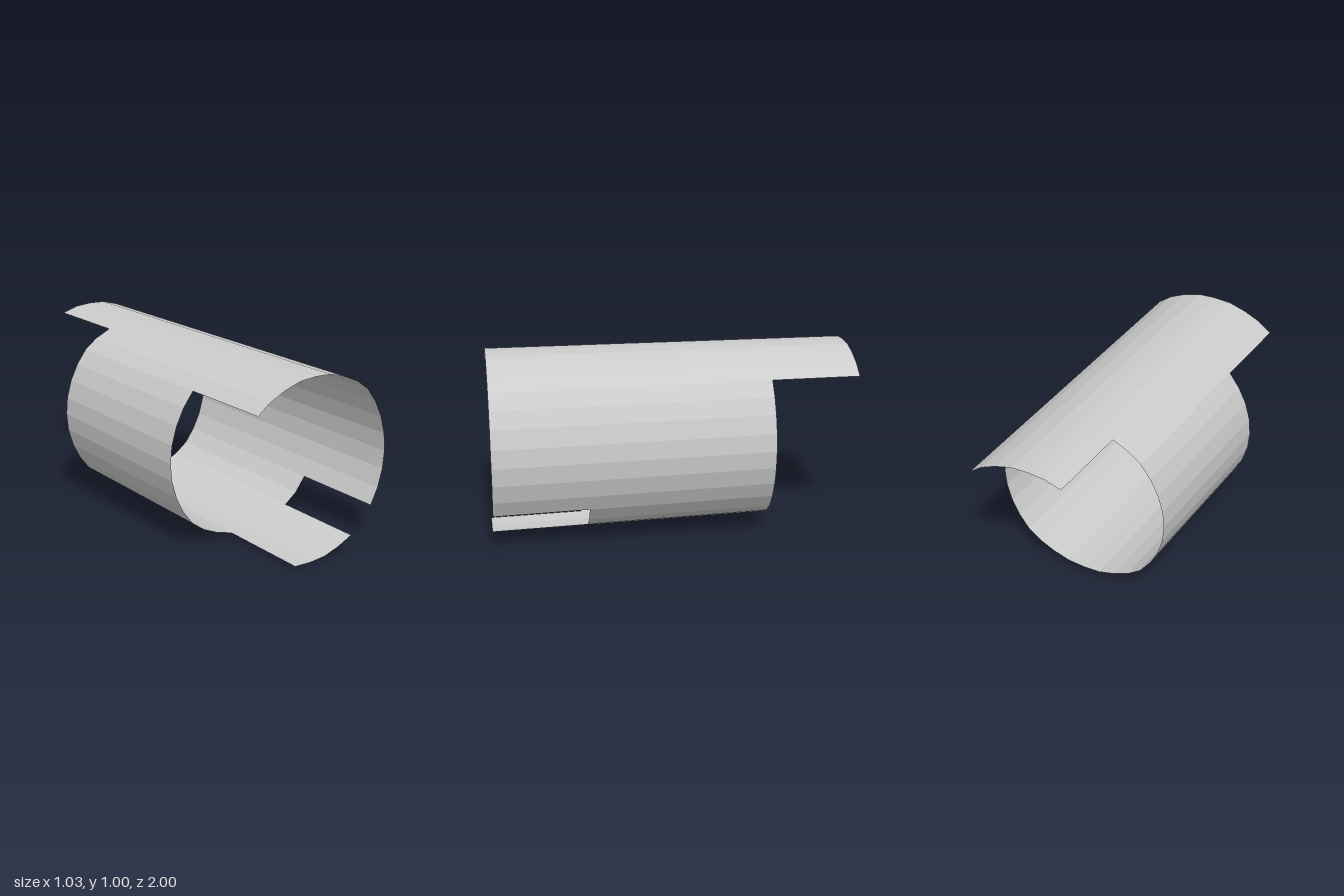
import * as THREE from 'three';

const SIDES = 32;
// Quarter outline from the crown (index 0) to the widest point (index 8)
const HEIGHT = [0.502, 0.496, 0.467, 0.426, 0.37, 0.29, 0.2, 0.099, 0];
const WIDTH = [0, 0.102, 0.202, 0.294, 0.371, 0.432, 0.478, 0.508, 0.517];

// Point on the slightly tapering sleeve; k counts clockwise from the crown
function sleevePoint(k, z) {
  const i = ((k % SIDES) + SIDES) % SIDES;
  const half = i <= 16 ? i : SIDES - i;
  const q = half <= 8 ? half : 16 - half;
  const scale = 1 - 0.023 * (1 - z);
  const x = WIDTH[q] * (i <= 16 ? 1 : -1) * scale;
  const y = 0.505 + 0.0105 * (1 - z) + HEIGHT[q] * (half <= 8 ? 1 : -1) * scale;
  return [x, y, z];
}

export function createModel() {
  const model = new THREE.Group();
  model.name = 'notchedSleeve';
  const material = new THREE.MeshStandardMaterial({
    color: 0xcccccc, flatShading: true, side: THREE.DoubleSide,
  });

  // Curved thin sheet over facets k0..k1 between two depths
  function addSheet(name, k0, k1, zBack, zFront) {
    const positions = [];
    for (let k = k0; k < k1; k++) {
      const a = sleevePoint(k, zFront), b = sleevePoint(k + 1, zFront);
      const c = sleevePoint(k + 1, zBack), d = sleevePoint(k, zBack);
      positions.push(...a, ...b, ...c, ...a, ...c, ...d);
    }
    const geometry = new THREE.BufferGeometry();
    geometry.setAttribute('position', new THREE.Float32BufferAttribute(positions, 3));
    geometry.computeVertexNormals();
    const mesh = new THREE.Mesh(geometry, material);
    mesh.name = name;
    model.add(mesh);
  }

  // Full ring in the middle
  addSheet('sleeveBody', 0, SIDES, -0.515, 0.485);
  // Narrow tongue reaching back along the crown
  addSheet('backTongue', -2, 4, -1, -0.515);
  // Front: large upper lip and small lower lip, with gaps between them
  addSheet('frontUpperLip', -4, 11, 0.485, 1);
  addSheet('frontLowerLip', 13, 17, 0.485, 1);
  return model;
}
